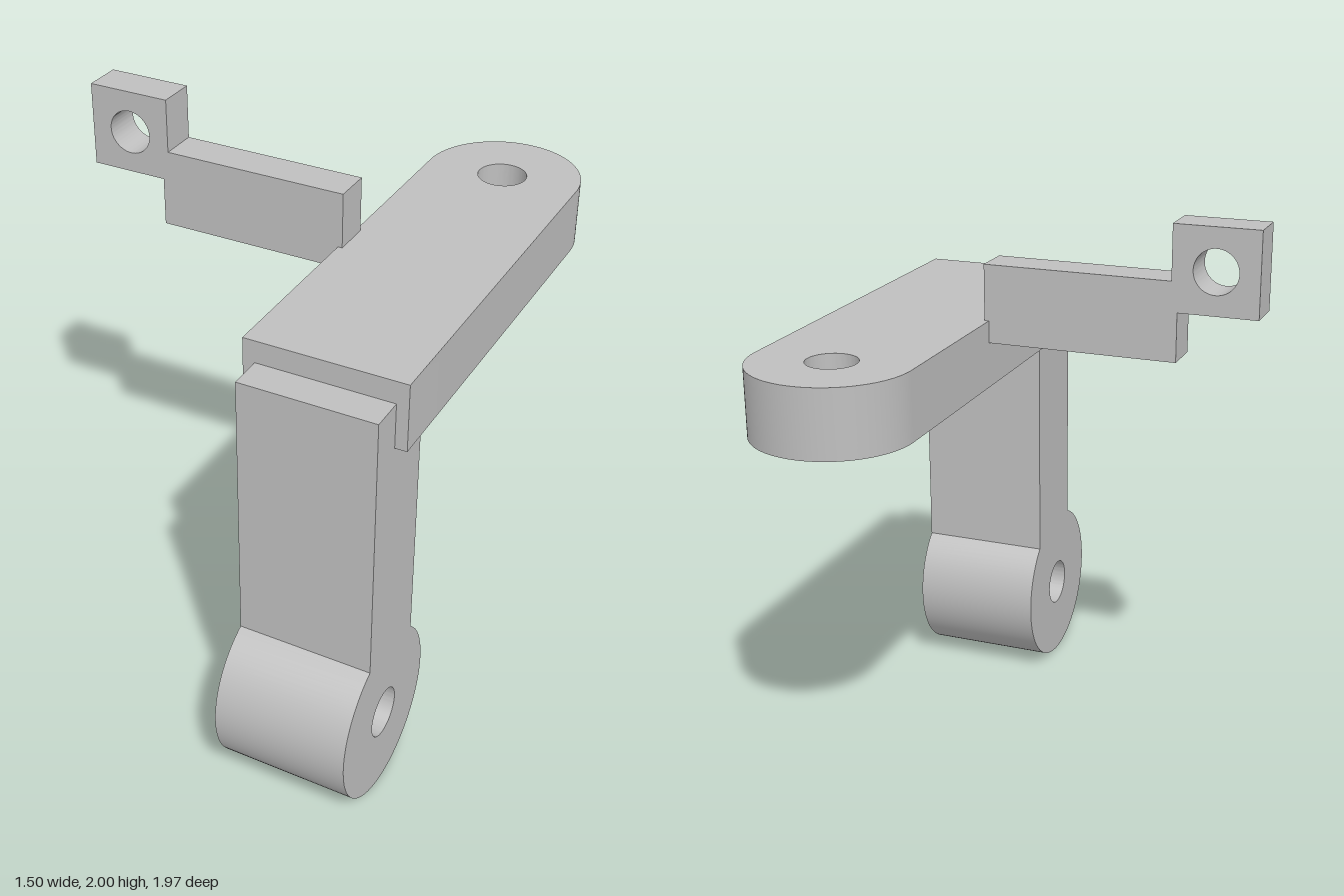
import * as THREE from 'three';
import { toCreasedNormals } from 'three/addons/utils/BufferGeometryUtils.js';

// Flat outline extruded along z, smooth on arcs and sharp at corners
function plate(shape, depth) {
  const geo = new THREE.ExtrudeGeometry(shape, { depth, bevelEnabled: false, curveSegments: 40 });
  return toCreasedNormals(geo, 0.5);
}

function addHole(shape, x, y, r) {
  shape.holes.push(new THREE.Path().absarc(x, y, r, 0, Math.PI * 2, true));
}

export function createModel() {
  const model = new THREE.Group();
  const metal = new THREE.MeshStandardMaterial({ color: 0xbfbfbf });
  metal.name = 'grey metal';

  const add = (name, geo) => {
    const mesh = new THREE.Mesh(geo, metal);
    mesh.name = name;
    model.add(mesh);
  };

  // Leg with round eye at the foot: profile in (z, y), extruded across x
  const cz = 0.687, cy = 0.298, r = 0.298;
  const back = 0.491, front = 0.805, top = 1.535;
  const aBack = Math.acos((back - cz) / r);
  const aFront = Math.acos((front - cz) / r);
  const leg = new THREE.Shape();
  leg.moveTo(front, top);
  leg.lineTo(back, top);
  leg.absarc(cz, cy, r, aBack, aFront + Math.PI * 2, false);
  leg.closePath();
  addHole(leg, cz, cy, 0.087);
  add('leg', plate(leg, 0.473).rotateY(-Math.PI / 2).translate(0.709, 0, 0));

  // Horizontal arm with rounded rear end: profile in (x, -z), extruded upward
  const ax = 0.472, ar = 0.278, az = 0.707;
  const arm = new THREE.Shape();
  arm.moveTo(ax - ar, -0.685);
  arm.lineTo(ax + ar, -0.685);
  arm.absarc(ax, az, ar, 0, Math.PI, false);
  arm.closePath();
  addHole(arm, ax, az, 0.087);
  add('arm', plate(arm, 0.237).rotateX(-Math.PI / 2).translate(0, 1.376, 0));

  // Thin side bracket with a raised square lug
  const bracket = new THREE.Shape([
    [-0.475, 1.535], [0.21, 1.535], [0.21, 1.81], [-0.453, 1.81],
    [-0.453, 2], [-0.75, 2], [-0.75, 1.705], [-0.475, 1.705],
  ].map(([x, y]) => new THREE.Vector2(x, y)));
  addHole(bracket, -0.602, 1.852, 0.077);
  add('sideBracket', plate(bracket, 0.137).translate(0, 0, -0.092));

  return model;
}
